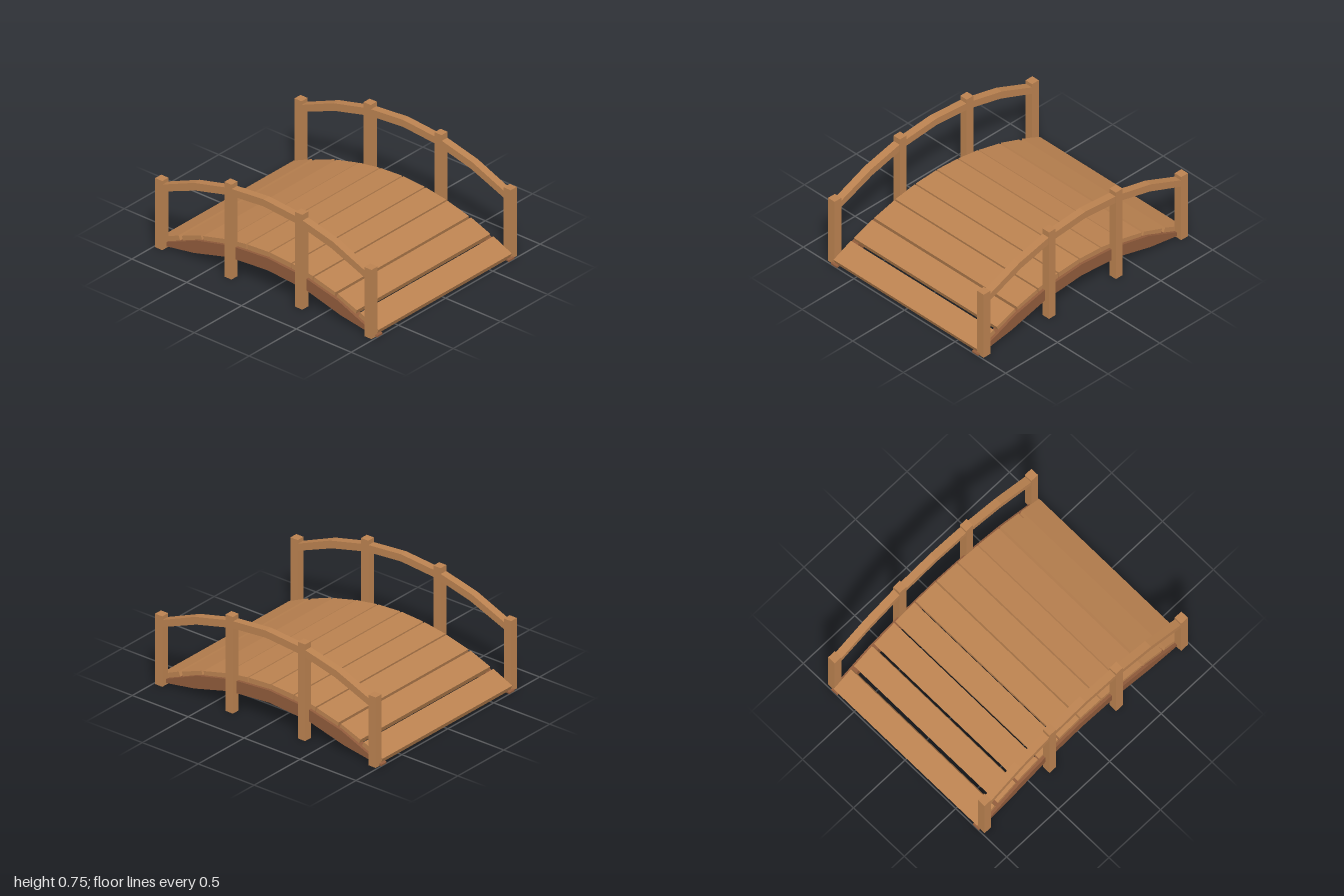
import * as THREE from 'three';

const wood = new THREE.MeshStandardMaterial({ name: 'wood', color: 0xbb8250, flatShading: true, side: THREE.DoubleSide });
const darkWood = new THREE.MeshStandardMaterial({ name: 'darkWood', color: 0x905b3b, flatShading: true, side: THREE.DoubleSide });

// Arched bar, open underneath: half outlines (x <= 0) mirrored in x, lofted between z0 and z1
function archedBar(name, top, bottom, z0, z1, material) {
  const mirror = (half) => [...half, ...half.slice(0, -1).reverse().map(([x, y]) => [-x, y])];
  const upper = mirror(top);
  const lower = mirror(bottom);
  // Cross-sections running up the front, over the top and down the back
  const sections = upper.map((t, i) => [[...lower[i], z1], [...t, z1], [...t, z0], [...lower[i], z0]]);
  const positions = [];
  const quad = (a, b, c, d) => positions.push(...a, ...b, ...c, ...a, ...c, ...d);
  for (let i = 0; i < sections.length - 1; i++) {
    const s = sections[i];
    const n = sections[i + 1];
    for (let j = 0; j < 3; j++) quad(s[j], n[j], n[j + 1], s[j + 1]);
  }
  // End caps
  quad(...sections[0]);
  quad(...sections[sections.length - 1].reverse());
  const geometry = new THREE.BufferGeometry();
  geometry.setAttribute('position', new THREE.Float32BufferAttribute(positions, 3));
  geometry.computeVertexNormals();
  const mesh = new THREE.Mesh(geometry, material);
  mesh.name = name;
  return mesh;
}

// Box without its underside
function openBox(name, w, h, d, x, y, z) {
  const geometry = new THREE.BoxGeometry(w, h, d);
  const index = Array.from(geometry.index.array);
  const underside = geometry.groups[3];
  index.splice(underside.start, underside.count);
  geometry.setIndex(index);
  geometry.clearGroups();
  const mesh = new THREE.Mesh(geometry, wood);
  mesh.name = name;
  mesh.position.set(x, y, z);
  return mesh;
}

export function createModel() {
  const bridge = new THREE.Group();
  bridge.name = 'archedFootbridge';

  // Deck planks, each given by the two ends of its top edge and tilted along the arch
  const thickness = 0.043;
  const plankTops = [
    [-0.997, 0.05, -0.828, 0.125],
    [-0.799, 0.133, -0.624, 0.199],
    [-0.604, 0.203, -0.409, 0.252],
    [-0.398, 0.256, -0.212, 0.285],
    [-0.2, 0.286, -0.006, 0.298],
  ];
  for (const side of [-1, 1]) {
    for (const [x0, y0, x1, y1] of plankTops) {
      const angle = Math.atan2(y1 - y0, x1 - x0);
      const x = (x0 + x1) / 2 + Math.sin(angle) * thickness / 2;
      const y = (y0 + y1) / 2 - Math.cos(angle) * thickness / 2;
      const plank = openBox('deckPlank', Math.hypot(x1 - x0, y1 - y0), thickness, 1.412, -side * x, y, 0);
      plank.rotation.z = -side * angle;
      bridge.add(plank);
    }
  }

  // Each side: support beam, posts and handrail
  for (const side of [-1, 1]) {
    const span = (a, b) => (side > 0 ? [a, b] : [-b, -a]);
    bridge.add(archedBar('supportBeam',
      [[-1, 0.012], [-0.64, 0.162], [-0.33, 0.235], [0, 0.26]],
      [[-1, 0], [-0.668, 0.054], [-0.353, 0.137], [0, 0.165]],
      ...span(0.667, 0.727), darkWood));
    bridge.add(archedBar('handrail',
      [[-0.953, 0.507], [-0.633, 0.64], [-0.32, 0.716], [0, 0.743]],
      [[-0.953, 0.452], [-0.62, 0.584], [-0.31, 0.661], [0, 0.687]],
      ...span(0.707, 0.766), wood));
    for (const [x, height] of [[0.954, 0.549], [0.323, 0.753]]) {
      for (const end of [-1, 1]) {
        bridge.add(openBox('railPost', 0.065, height, 0.064, end * x, height / 2, side * 0.737));
      }
    }
  }
  return bridge;
}
